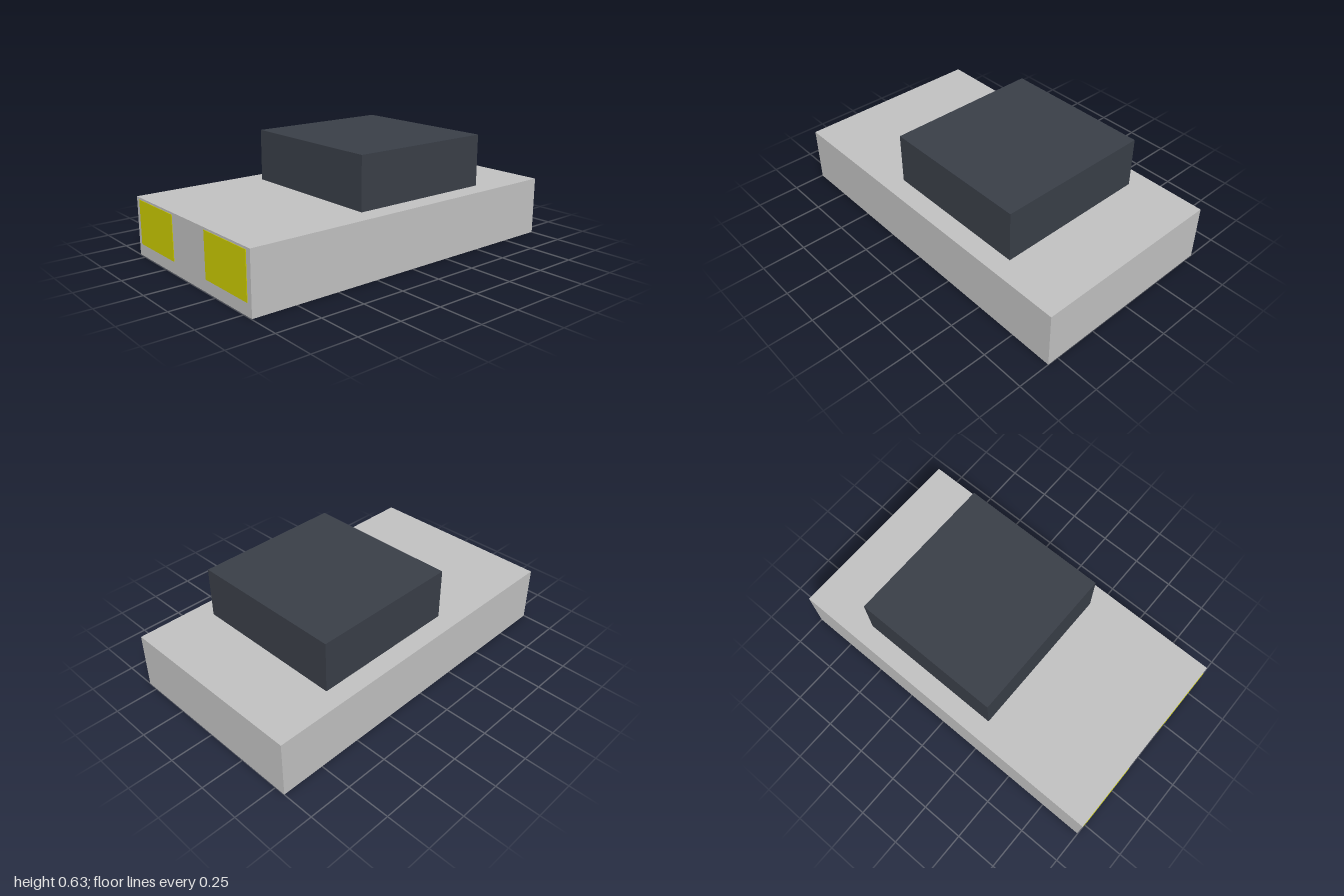
import * as THREE from 'three';

const material = (name, color) => {
  const m = new THREE.MeshStandardMaterial({ color });
  m.name = name;
  return m;
};

// Box given by its lower and upper corners
function box(name, mat, [x0, y0, z0], [x1, y1, z1]) {
  const mesh = new THREE.Mesh(new THREE.BoxGeometry(x1 - x0, y1 - y0, z1 - z0), mat);
  mesh.position.set((x0 + x1) / 2, (y0 + y1) / 2, (z0 + z1) / 2);
  mesh.name = name;
  return mesh;
}

export function createModel() {
  const model = new THREE.Group();
  model.name = 'blockCar';
  const silver = material('silver body', 0xc0c0c0);
  const dark = material('dark cabin', 0x393e47);
  const yellow = material('yellow light', 0xcaca00);

  // Lower body and the cabin set towards the back
  model.add(box('body', silver, [-0.563, 0, -1], [0.563, 0.332, 0.997]));
  model.add(box('cabin', dark, [-0.45, 0.332, -0.603], [0.45, 0.628, 0.26]));

  // Headlights: thin plates on the front face
  const left = box('leftHeadlight', yellow, [0.162, 0.068, 0.995], [0.53, 0.32, 1]);
  const right = left.clone();
  right.name = 'rightHeadlight';
  right.position.x *= -1;
  model.add(left, right);

  return model;
}
